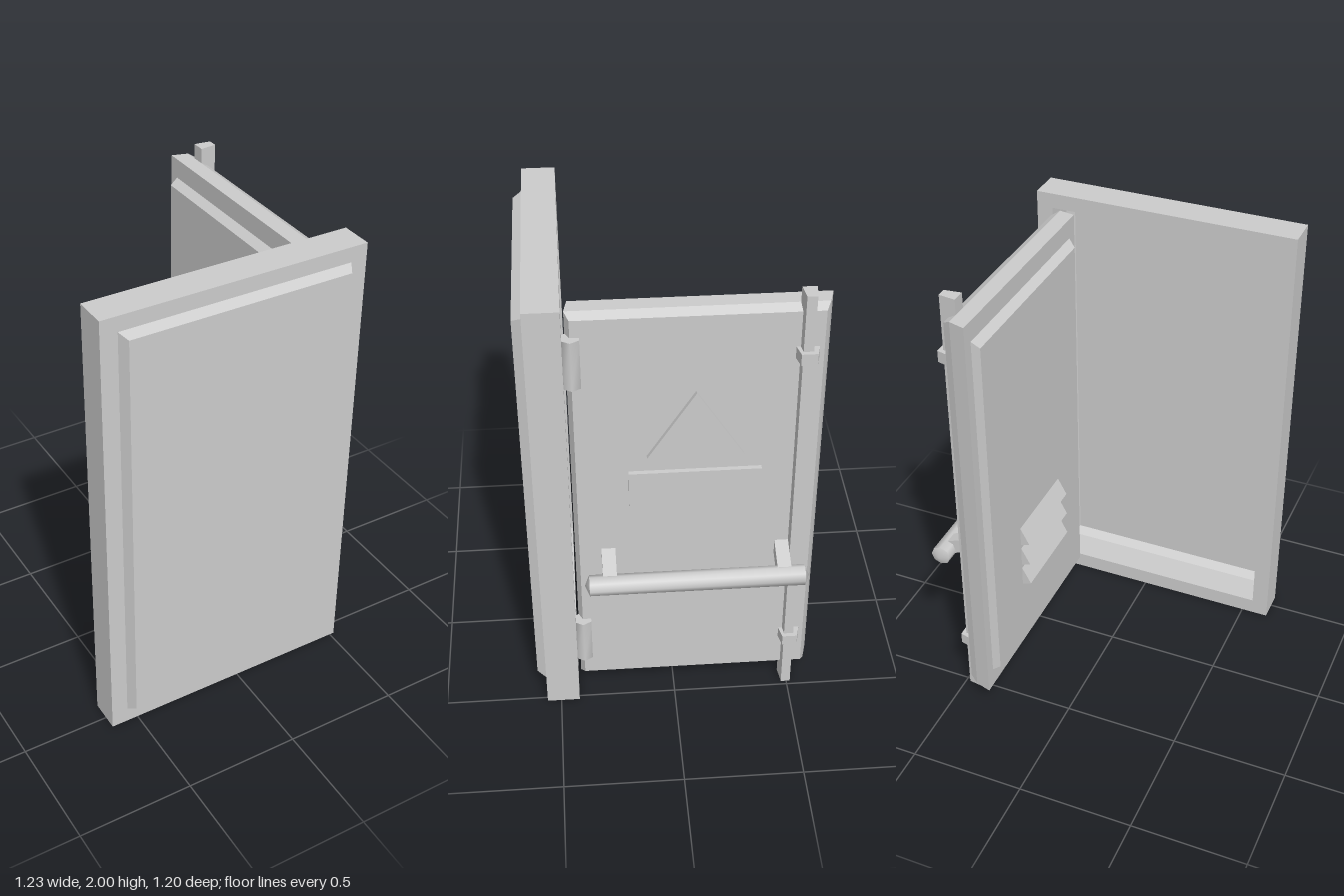
import * as THREE from 'three';
import { toCreasedNormals } from 'three/addons/utils/BufferGeometryUtils.js';

const grey = new THREE.MeshStandardMaterial({ color: 0xcccccc });
const thin = new THREE.MeshStandardMaterial({ color: 0xcccccc, side: THREE.DoubleSide });

function add(parent, name, geometry, material = grey) {
  const mesh = new THREE.Mesh(geometry, material);
  mesh.name = name;
  parent.add(mesh);
  return mesh;
}

const outline = (points) => new THREE.Shape(points.map(([x, y]) => new THREE.Vector2(x, y)));
const extrude = (shape, depth) => new THREE.ExtrudeGeometry(shape, { depth, bevelEnabled: false });

// Upright prism: profile of [x, z] points, from y0 to y1
function uprightPrism(profile, y0, y1) {
  return extrude(outline(profile.map(([x, z]) => [x, -z])), y1 - y0)
    .rotateX(-Math.PI / 2).translate(0, y0, 0);
}

// Sideways prism: profile of [z, y] points, from x0 to x1
function sidewaysPrism(profile, x0, x1) {
  return extrude(outline(profile.map(([z, y]) => [-z, y])), x1 - x0)
    .rotateY(Math.PI / 2).translate(x0, 0, 0);
}

// Rectangular rings [z, x0, x1, y0, y1] joined from back to front
function loftRects(rings, backCap = true) {
  const pos = [], index = [];
  for (const [z, x0, x1, y0, y1] of rings) pos.push(x0, y0, z, x1, y0, z, x1, y1, z, x0, y1, z);
  for (let r = 0; r < rings.length - 1; r++) {
    for (let i = 0; i < 4; i++) {
      const a = r * 4 + i, b = r * 4 + (i + 1) % 4;
      index.push(a, b, a + 4, b, b + 4, a + 4);
    }
  }
  const t = (rings.length - 1) * 4;
  index.push(t, t + 1, t + 2, t, t + 2, t + 3);
  if (backCap) index.push(0, 2, 1, 0, 3, 2);
  const g = new THREE.BufferGeometry();
  g.setAttribute('position', new THREE.Float32BufferAttribute(pos, 3));
  g.setIndex(index);
  const flat = g.toNonIndexed();
  flat.computeVertexNormals();
  return flat;
}

function buildFrame() {
  const frame = new THREE.Group();
  frame.name = 'cabinetFrame';
  // Deep rectangular surround with an opening
  const surround = outline([[-0.62, 0], [0.52, 0], [0.52, 2], [-0.62, 2]]);
  surround.holes.push(new THREE.Path([[-0.548, 0.072], [-0.548, 1.935], [0.45, 1.935], [0.45, 0.072]]
    .map(([x, y]) => new THREE.Vector2(x, y))));
  add(frame, 'surround', extrude(surround, 0.14).translate(0, 0, 0.42));
  // Thin bevelled panel closing the front, hollow behind
  add(frame, 'frontPanel', loftRects([
    [0.56, -0.548, 0.45, 0.072, 1.935],
    [0.6, -0.525, 0.427, 0.095, 1.914],
  ], false), thin);
  return frame;
}

// The door is built facing +z, hinge edge at -x, then swung open
function buildDoor() {
  const door = new THREE.Group();
  door.name = 'door';

  // Slab with bevelled outer edge and raised inner panel
  add(door, 'doorSlab', loftRects([
    [0.305, -0.32, 0.546, 0.185, 1.825],
    [0.34, -0.345, 0.553, 0.16, 1.85],
    [0.34, -0.395, 0.6, 0.072, 1.935],
    [0.41, -0.408, 0.58, 0.072, 1.935],
    [0.445, -0.39, 0.562, 0.095, 1.914],
  ]));

  // Three sloping vent louvres on the inside
  for (let i = 0; i < 3; i++) {
    const y = 0.785 - i * 0.11;
    add(door, 'ventLouvre', sidewaysPrism([[0.31, y], [0.265, y - 0.085], [0.31, y - 0.1]], -0.095, 0.295));
  }

  // Raised blank plates
  add(door, 'trianglePlate', extrude(outline([[-0.11, 1.278], [0.273, 1.278], [0.082, 1.58]]), 0.025)
    .translate(0, 0, 0.44));
  add(door, 'rectanglePlate', extrude(outline([[-0.183, 1.04], [0.345, 1.04], [0.345, 1.204], [-0.183, 1.204]]), 0.025)
    .translate(0, 0, 0.44));

  // Locking rod and its keepers
  add(door, 'lockingRod', uprightPrism([[0.468, 0.41], [0.526, 0.41], [0.516, 0.482], [0.476, 0.482]], 0, 2));
  for (const y of [0.247, 1.71]) {
    add(door, 'rodKeeper', uprightPrism([[0.452, 0.43], [0.548, 0.43], [0.53, 0.5], [0.467, 0.5]], y, y + 0.05));
  }

  // Handle bar with shallow pointed ends
  const bar = new THREE.LatheGeometry([[0, -0.375], [0.043, -0.356], [0.043, 0.527], [0, 0.545]]
    .map(([r, y]) => new THREE.Vector2(r, y)), 8).rotateZ(-Math.PI / 2).translate(0, 0.72, 0.57);
  add(door, 'handleBar', toCreasedNormals(bar, Math.PI / 3.5));
  // Arms sloping down from the door to the bar
  for (const x of [-0.3, 0.415]) {
    add(door, 'handleArm', sidewaysPrism([[0.43, 0.812], [0.57, 0.757], [0.57, 0.69], [0.43, 0.745]], x, x + 0.057));
  }

  // Hinge barrels
  for (const y of [0.305, 1.733]) {
    const barrel = new THREE.CylinderGeometry(0.04, 0.04, 0.215, 6).translate(-0.389, y, 0.443);
    add(door, 'hinge', toCreasedNormals(barrel, Math.PI / 2.8));
  }

  door.rotation.y = Math.PI / 2;
  return door;
}

export function createModel() {
  const model = new THREE.Group();
  model.name = 'cabinetDoor';
  model.add(buildFrame(), buildDoor());
  return model;
}
